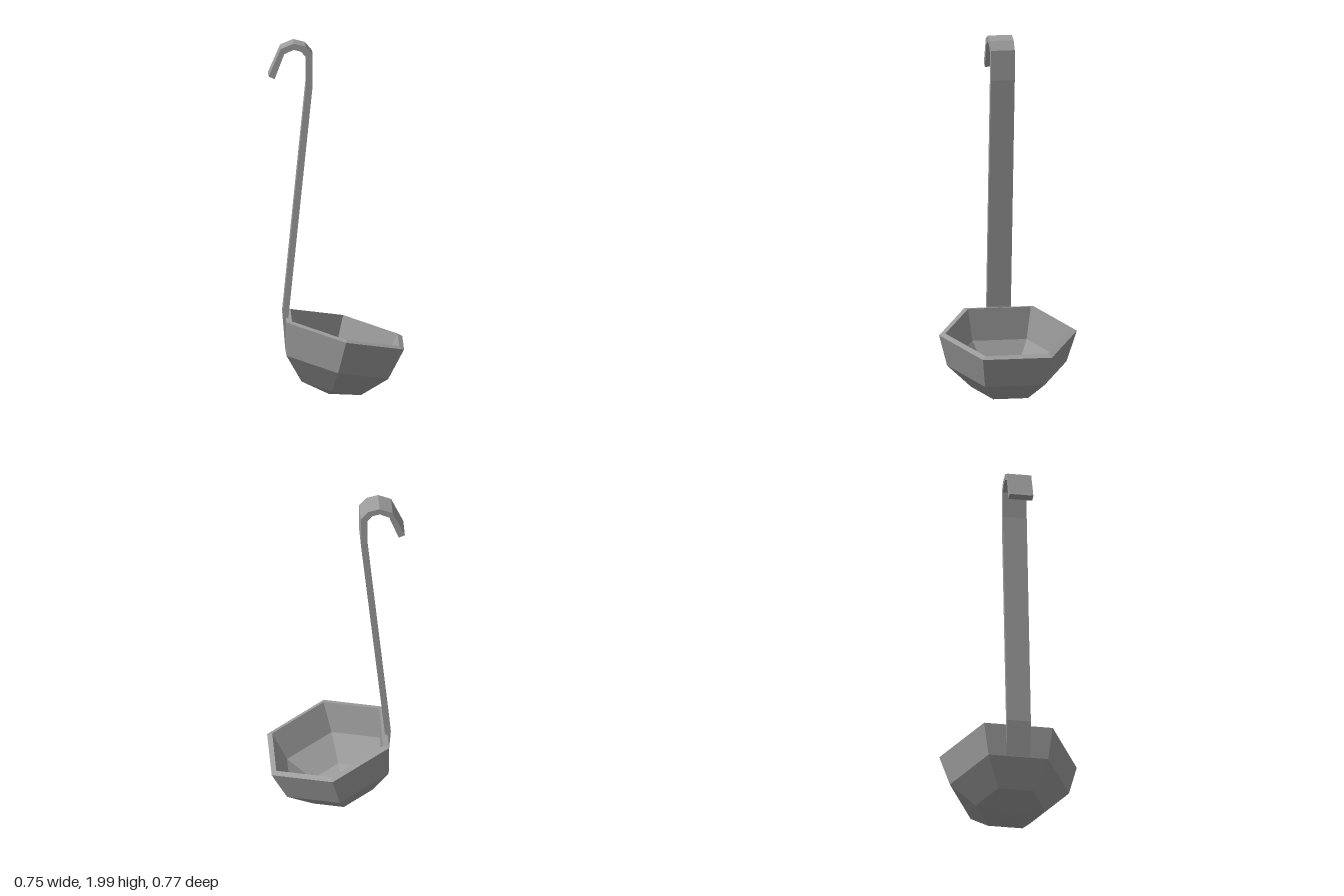
import * as THREE from 'three';

const steel = new THREE.MeshStandardMaterial({ color: 0x9c9c9c, flatShading: true });
steel.name = 'steel grey';

const points = (list) => list.map(([x, y]) => new THREE.Vector2(x, y));

// Six-sided thick-walled bowl: outer profile up from the pole, over the lip, down inside
function makeBowl() {
  const profile = points([
    [0, -0.375], [0.195, -0.323], [0.335, -0.187], [0.387, 0],
    [0.352, 0.01], [0.305, -0.168], [0.178, -0.294], [0, -0.338],
  ]);
  const bowl = new THREE.Mesh(new THREE.LatheGeometry(profile, 6), steel);
  bowl.name = 'bowl';
  bowl.position.set(0.047, 0.372, 0);
  bowl.rotation.z = -0.234;
  return bowl;
}

// Flat strip handle with a bent hook; its lower end sinks into the bowl wall
function makeHandle() {
  const outer = [
    [-0.375, 1.815], [-0.307, 1.97], [-0.235, 2], [-0.17, 1.983],
    [-0.13, 1.935], [-0.13, 1.765], [-0.264, 0.46], [-0.257, 0.27],
  ];
  const inner = [
    [-0.341, 1.8], [-0.288, 1.94], [-0.235, 1.965], [-0.193, 1.953],
    [-0.167, 1.92], [-0.167, 1.77], [-0.297, 0.47], [-0.28, 0.26],
  ];
  const outline = new THREE.Shape(points([...outer, ...inner.reverse()]));
  const width = 0.134;
  const geometry = new THREE.ExtrudeGeometry(outline, { depth: width, bevelEnabled: false });
  geometry.translate(0, 0, -width / 2);
  const handle = new THREE.Mesh(geometry, steel);
  handle.name = 'handle';
  return handle;
}

export function createModel() {
  const ladle = new THREE.Group();
  ladle.name = 'ladle';
  ladle.add(makeBowl(), makeHandle());
  return ladle;
}
